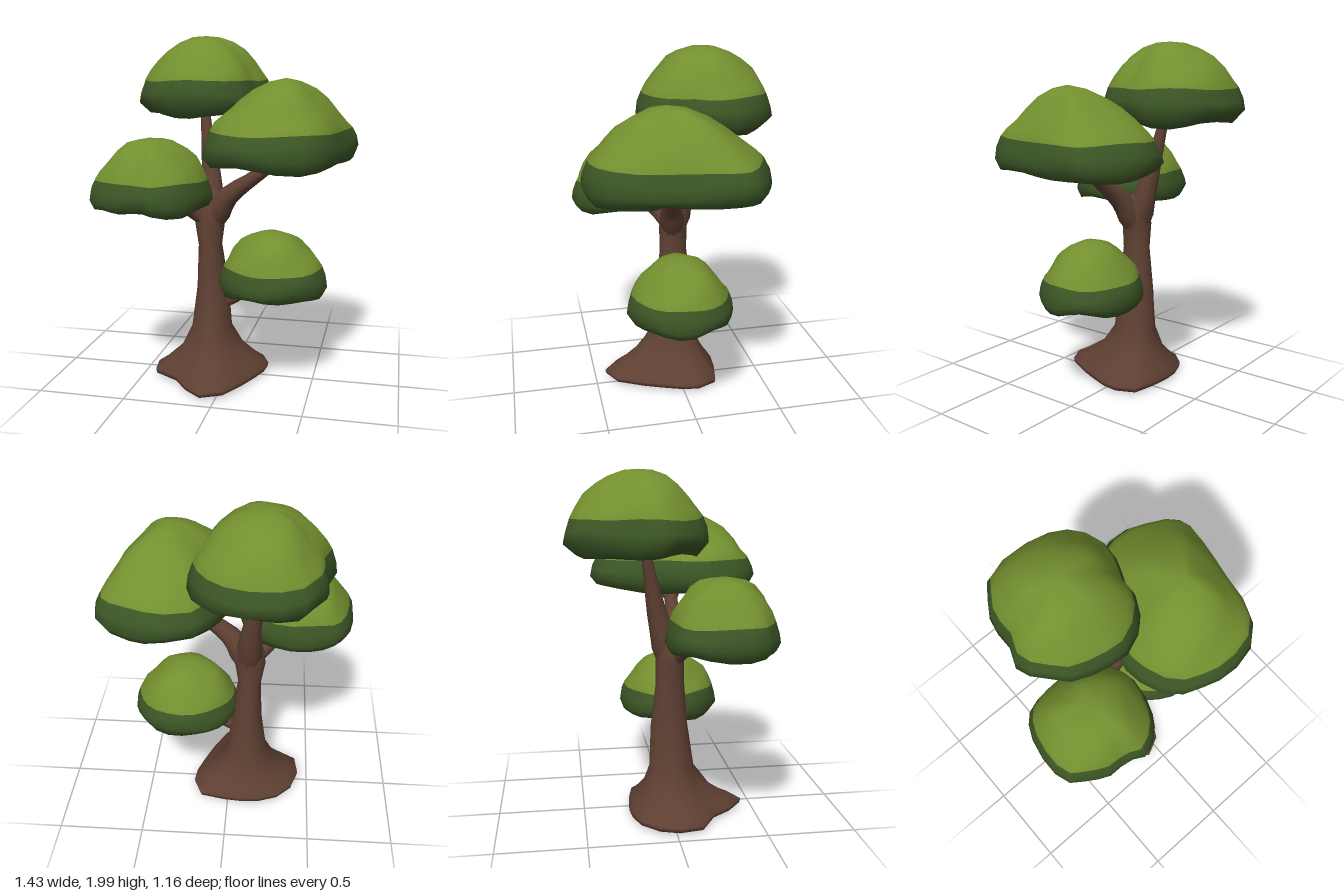
import * as THREE from 'three';
import { mergeVertices } from 'three/addons/utils/BufferGeometryUtils.js';

const V = (x, y, z) => new THREE.Vector3(x, y, z);
const { lerp } = THREE.MathUtils;

// Skin closed rings of points (bottom to top); rings from `split` upward use the second material
function loft(rings, split = Infinity) {
  const n = rings[0].length, pos = [], lower = [], upper = [];
  rings.forEach(r => r.forEach(p => pos.push(p.x, p.y, p.z)));
  for (let i = 0; i < rings.length - 1; i++) {
    const out = i < split ? lower : upper;
    for (let j = 0; j < n; j++) {
      const a = i * n + j, b = i * n + (j + 1) % n, c = a + n, d = b + n;
      out.push(a, c, b, b, c, d);
    }
  }
  let g = new THREE.BufferGeometry();
  g.setAttribute('position', new THREE.Float32BufferAttribute(pos, 3));
  g.setIndex([...lower, ...upper]);
  g = mergeVertices(g, 1e-5);
  g.computeVertexNormals();
  if (upper.length) {
    g.addGroup(0, lower.length, 0);
    g.addGroup(lower.length, upper.length, 1);
  }
  return g;
}

// Tapered branch through points [x, y, z, radius]
function branch(points, sides = 9) {
  const curve = new THREE.CatmullRomCurve3(points.map(p => V(p[0], p[1], p[2])));
  const steps = (points.length - 1) * 2, rings = [];
  for (let i = 0; i <= steps; i++) {
    const t = i / steps, k = Math.min(Math.floor(i / 2), points.length - 2), f = i / 2 - k;
    const r = lerp(points[k][3], points[k + 1][3], f);
    const c = curve.getPoint(t), tan = curve.getTangent(t);
    const v = V(0, 0, 1).addScaledVector(tan, -tan.z).normalize();
    const u = tan.clone().cross(v);
    rings.push(Array.from({ length: sides }, (_, j) => {
      const a = j / sides * Math.PI * 2;
      return c.clone().addScaledVector(u, Math.cos(a) * r).addScaledVector(v, Math.sin(a) * r);
    }));
  }
  rings.push(rings[steps].map(() => curve.getPoint(1)));
  return loft(rings);
}

// Trunk from sections [y, xMin, xMax, zMin, zMax, foot]; foot blends the oval into the root outline
function trunk(root, sections) {
  const cx = -0.11, n = root.length;
  const rings = sections.map(([y, x0, x1, z0, z1, foot]) => root.map(([rx, rz], j) => {
    const a = j / n * Math.PI * 2, c = Math.cos(a), s = Math.sin(a);
    const x = cx + c * (c > 0 ? x1 - cx : cx - x0), z = s * (s > 0 ? z1 : -z0);
    return V(lerp(x, rx, foot), y, lerp(z, rz, foot));
  }));
  rings.unshift(rings[0].map(p => V(cx + (p.x - cx) * 0.9, 0.008, p.z * 0.9)));
  rings.unshift(rings[0].map(() => V(cx, 0.01, 0)));
  return loft(rings);
}

// Leaf cushion: outline [x, z] seen from above, peak position, heights, underside tuck and dome fullness
function canopy({ outline, peak, y0, band, top, tuck, full, seed }) {
  const n = 24, edge = 0.91;
  const curve = new THREE.CatmullRomCurve3(outline.map(p => V(p[0], 0, p[1])), true);
  const rim = curve.getPoints(n).slice(0, n);
  const wall = band - y0;
  const profile = [[0, y0 + 0.06], [0.45, y0 + 0.055], [tuck - 0.14, y0 + 0.025], [tuck, y0 + 0.007],
    [1, y0 + wall * 0.34], [0.975, y0 + wall * 0.65], [edge, band]];
  const split = profile.length - 1;
  for (const s of [0.84, 0.72, 0.57, 0.4, 0.2, 0])
    profile.push([s, band + (top - band) * (1 - (s / edge) ** full)]);
  const rings = profile.map(([s, y], i) => rim.map((p, j) => {
    const a = j / n * Math.PI * 2;
    const bump = Math.sin(a * 3 + seed + i * 1.3) + Math.sin(a * 5 + seed * 2.3 - i * 0.9);
    // Bumps fade towards the middle so the crown stays smooth
    const dy = bump * (i === split ? 0.004 : 0.009) * Math.min(1, s * s * 2.5);
    const f = s * (1 + (i > split ? 0.012 * Math.sin(a * 4 + seed * 3 + i * 2) : 0));
    return V(peak[0] + (p.x - peak[0]) * f, y + dy, peak[1] + (p.z - peak[1]) * f);
  }));
  return loft(rings, split);
}

export function createModel() {
  const group = new THREE.Group();
  const mat = (name, color) => Object.assign(new THREE.MeshStandardMaterial({ color }), { name });
  const bark = mat('bark brown', 0x5f4033);
  const darkLeaf = mat('shaded leaf green', 0x3c5626);
  const lightLeaf = mat('bright leaf green', 0x738f2f);
  const add = (name, geometry, material) => {
    const mesh = new THREE.Mesh(geometry, material);
    mesh.name = name;
    group.add(mesh);
  };

  // Trunk on a lobed root foot
  const root = [[0.21, 0], [0.17, 0.11], [0.12, 0.23], [0.04, 0.38], [-0.08, 0.44], [-0.19, 0.35], [-0.27, 0.24],
    [-0.42, 0.15], [-0.44, 0.02], [-0.4, -0.1], [-0.31, -0.19], [-0.2, -0.23], [-0.1, -0.24], [0.02, -0.23],
    [0.17, -0.2], [0.22, -0.09]];
  add('trunk', trunk(root, [
    [0.025, -0.19, -0.01, -0.11, 0.105, 0.98],
    [0.05, -0.19, -0.01, -0.11, 0.105, 1],
    [0.09, -0.19, -0.01, -0.11, 0.105, 0.76],
    [0.17, -0.19, -0.01, -0.11, 0.105, 0.4],
    [0.3, -0.205, -0.015, -0.105, 0.11, 0.1],
    [0.55, -0.195, -0.01, -0.11, 0.105, 0],
    [0.8, -0.187, -0.05, -0.08, 0.085, 0],
    [0.94, -0.21, -0.03, -0.08, 0.085, 0],
    [1.03, -0.2, -0.015, -0.085, 0.08, 0],
    [1.12, -0.15, -0.06, -0.07, 0.03, 0],
    [1.14, -0.112, -0.108, -0.002, 0.002, 0],
  ]), bark);

  // Branches, rooted inside the trunk
  const branches = {
    topBranch: [[-0.12, 0.85, 0, 0.04], [-0.115, 1.02, -0.025, 0.078], [-0.13, 1.22, -0.075, 0.056], [-0.165, 1.45, -0.12, 0.035], [-0.19, 1.66, -0.16, 0.022]],
    leftBranch: [[-0.12, 0.9, 0.01, 0.03], [-0.22, 1.02, 0.07, 0.045], [-0.34, 1.08, 0.17, 0.028], [-0.44, 1.16, 0.24, 0.016]],
    rightBranch: [[-0.11, 0.86, 0, 0.035], [-0.065, 1.0, 0.015, 0.073], [0.0, 1.1, 0.035, 0.06], [0.12, 1.19, 0.05, 0.043], [0.24, 1.28, 0.055, 0.036]],
    rightForkFront: [[0.19, 1.243, 0.053, 0.034], [0.28, 1.31, 0.11, 0.028], [0.36, 1.39, 0.2, 0.014]],
    rightForkBack: [[0.19, 1.243, 0.053, 0.034], [0.28, 1.32, -0.02, 0.024], [0.33, 1.4, -0.12, 0.012]],
    lowBranch: [[-0.11, 0.41, 0, 0.03], [0.0, 0.475, 0.005, 0.042], [0.13, 0.535, 0.02, 0.023], [0.24, 0.62, 0.03, 0.012]],
  };
  for (const [name, points] of Object.entries(branches)) add(name, branch(points), bark);

  // Leaf cushions
  const canopies = {
    topCanopy: {
      outline: [[0.2, -0.3], [0.18, -0.17], [0.135, -0.08], [0.125, 0.03], [0.04, 0.14], [-0.11, 0.21], [-0.25, 0.19],
        [-0.4, 0.14], [-0.5, 0.03], [-0.57, -0.07], [-0.52, -0.22], [-0.52, -0.35], [-0.46, -0.46], [-0.38, -0.56],
        [-0.16, -0.585], [0.03, -0.54], [0.14, -0.45]],
      peak: [-0.18, -0.18], y0: 1.55, band: 1.75, top: 2.0, tuck: 0.84, full: 2.4, seed: 1,
    },
    rightCanopy: {
      outline: [[0.715, -0.19], [0.69, 0], [0.65, 0.2], [0.6, 0.42], [0.48, 0.545], [0.28, 0.575], [0.13, 0.54],
        [-0.01, 0.47], [-0.09, 0.3], [-0.1, 0.15], [-0.03, -0.02], [0.05, -0.22], [0.16, -0.38], [0.38, -0.425],
        [0.52, -0.38], [0.68, -0.29]],
      peak: [0.34, 0.13], y0: 1.305, band: 1.49, top: 1.77, tuck: 0.93, full: 1.75, seed: 2.4,
    },
    leftCanopy: {
      outline: [[-0.05, 0.22], [-0.09, 0.4], [-0.15, 0.5], [-0.28, 0.58], [-0.38, 0.54], [-0.5, 0.535], [-0.6, 0.48],
        [-0.7, 0.41], [-0.72, 0.25], [-0.68, 0.07], [-0.61, -0.02], [-0.5, -0.05], [-0.33, -0.06], [-0.18, 0], [-0.09, 0.1]],
      peak: [-0.38, 0.24], y0: 1.055, band: 1.22, top: 1.44, tuck: 0.93, full: 2.8, seed: 4.1,
    },
    lowCanopy: {
      outline: [[0.575, 0.03], [0.53, 0.18], [0.42, 0.29], [0.26, 0.345], [0.1, 0.29], [-0.01, 0.18], [-0.055, 0.03],
        [-0.01, -0.11], [0.11, -0.21], [0.27, -0.255], [0.44, -0.21], [0.54, -0.1]],
      peak: [0.25, 0.05], y0: 0.545, band: 0.7, top: 0.905, tuck: 0.93, full: 2.4, seed: 5.7,
    },
  };
  for (const [name, spec] of Object.entries(canopies)) add(name, canopy(spec), [darkLeaf, lightLeaf]);

  return group;
}
